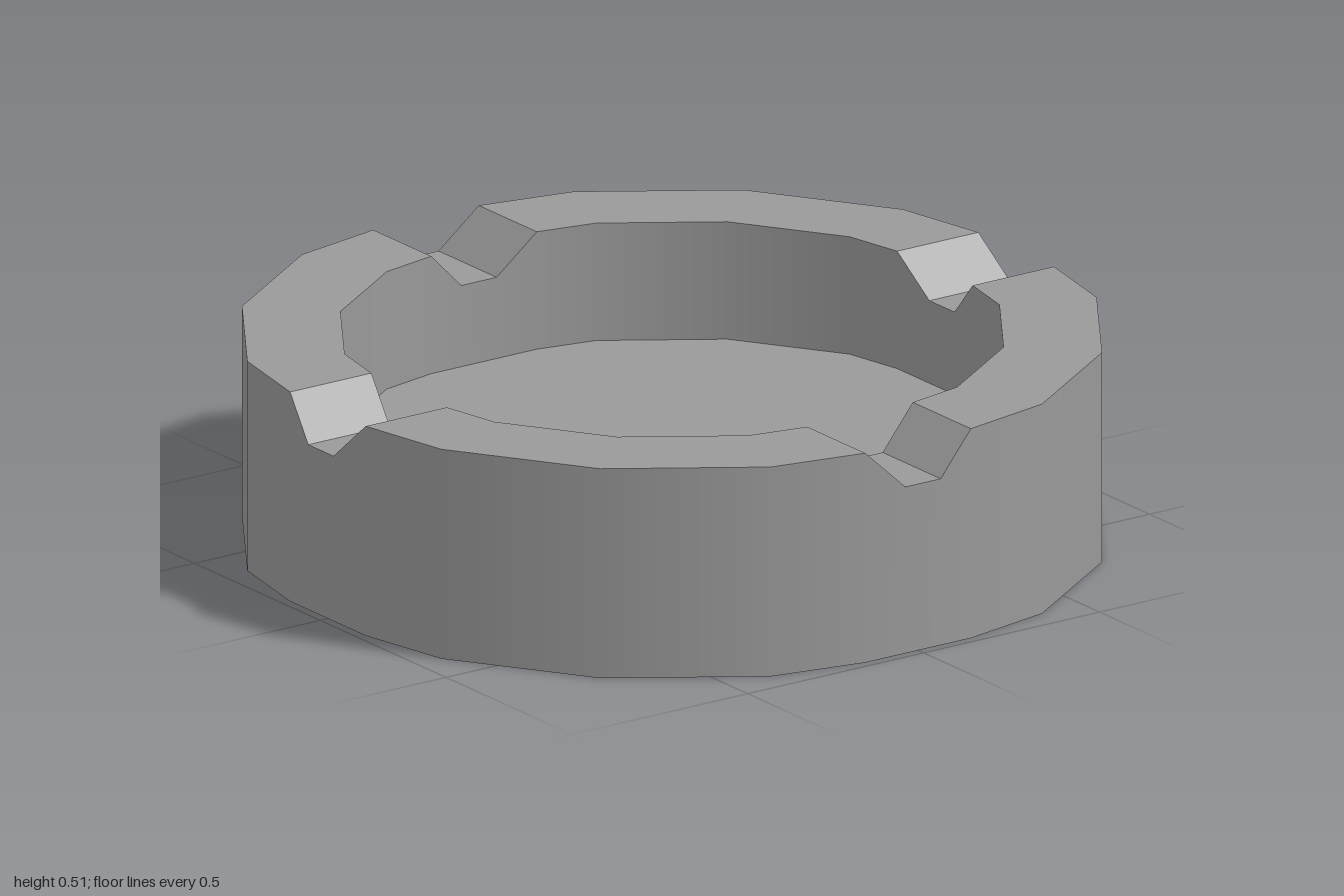
import * as THREE from 'three';

const HEIGHT = 0.512, NOTCH_Y = 0.415, FLOOR_Y = 0.225;
const OUTER = 1.008, INNER = 0.777;     // corner radii of the 16-sided rings
const NOTCH_LOW = 0.05, NOTCH_HIGH = 0.15; // half widths of a notch, bottom and top

// Point on the first side of a 16-gon of radius r, at offset x from the notch centre
const onSide = (r, x) => {
  const a = Math.PI / 8;
  return [x, r + (x / (r * Math.sin(a))) * (r * Math.cos(a) - r)];
};

// One ring of columns: { low, top: [x, z], foot: [x, z] }, four equal quarters
function makeRing(r) {
  const high = onSide(r, NOTCH_HIGH), low = onSide(r, NOTCH_LOW);
  const quarter = [
    { low: true, top: low, foot: [NOTCH_LOW, high[1]] },
    { low: false, top: high, foot: high },
  ];
  for (let k = 1; k <= 3; k++) {
    const p = [r * Math.sin(k * Math.PI / 8), r * Math.cos(k * Math.PI / 8)];
    quarter.push({ low: false, top: p, foot: p });
  }
  const swap = ([x, z]) => [z, x];
  for (const i of [1, 0]) {
    const c = quarter[i];
    quarter.push({ low: c.low, top: swap(c.top), foot: swap(c.foot) });
  }
  const ring = [];
  for (let q = 0; q < 4; q++) {
    const c = Math.round(Math.cos(q * Math.PI / 2)), s = Math.round(Math.sin(q * Math.PI / 2));
    const turn = ([x, z]) => [x * c + z * s, z * c - x * s];
    for (const p of quarter) ring.push({ low: p.low, top: turn(p.top), foot: turn(p.foot) });
  }
  return ring;
}

export function createModel() {
  const group = new THREE.Group();
  const material = new THREE.MeshStandardMaterial({ color: 0x999999 });
  const outer = makeRing(OUTER), inner = makeRing(INNER), n = outer.length;

  const top = (c) => [c.top[0], c.low ? NOTCH_Y : HEIGHT, c.top[1]];
  const foot = (c, y) => [c.foot[0], y, c.foot[1]];
  const quad = (a, b, c, d, flip) => (flip ? [a, b, d, b, c, d] : [a, b, c, a, c, d]);

  // Runs a rule over every pair of neighbouring columns and makes a mesh of the triangles.
  // facing: 1 = smooth outward wall, -1 = smooth inward wall, 0 = flat faces
  function addPart(name, facing, rule) {
    const points = [];
    for (let i = 0; i < n; i++) points.push(...rule(i, (i + 1) % n));
    const geometry = new THREE.BufferGeometry();
    geometry.setAttribute('position', new THREE.Float32BufferAttribute(points.flat(), 3));
    if (facing === 0) {
      geometry.computeVertexNormals();
    } else {
      const normals = points.flatMap(([x, , z]) =>
        new THREE.Vector3(x, 0, z).normalize().multiplyScalar(facing).toArray());
      geometry.setAttribute('normal', new THREE.Float32BufferAttribute(normals, 3));
    }
    const mesh = new THREE.Mesh(geometry, material);
    mesh.name = name;
    group.add(mesh);
  }

  // Walls: smooth around, with the diagonals running from notch bottom to wall foot
  addPart('outerWall', 1, (i, j) => quad(
    foot(outer[i], 0), foot(outer[j], 0), top(outer[j]), top(outer[i]),
    outer[i].low && !outer[j].low));
  addPart('innerWall', -1, (i, j) => quad(
    top(inner[i]), top(inner[j]), foot(inner[j], FLOOR_Y), foot(inner[i], FLOOR_Y),
    inner[j].low && !inner[i].low));

  // Flat rim with its four notches
  addPart('notchedRim', 0, (i, j) => quad(
    top(outer[i]), top(outer[j]), top(inner[j]), top(inner[i]), false));

  // Bowl floor and underside
  addPart('bowlFloor', 0, (i, j) => [
    [0, FLOOR_Y, 0], foot(inner[i], FLOOR_Y), foot(inner[j], FLOOR_Y)]);
  addPart('base', 0, (i, j) => [
    [0, 0, 0], foot(outer[j], 0), foot(outer[i], 0)]);

  return group;
}
